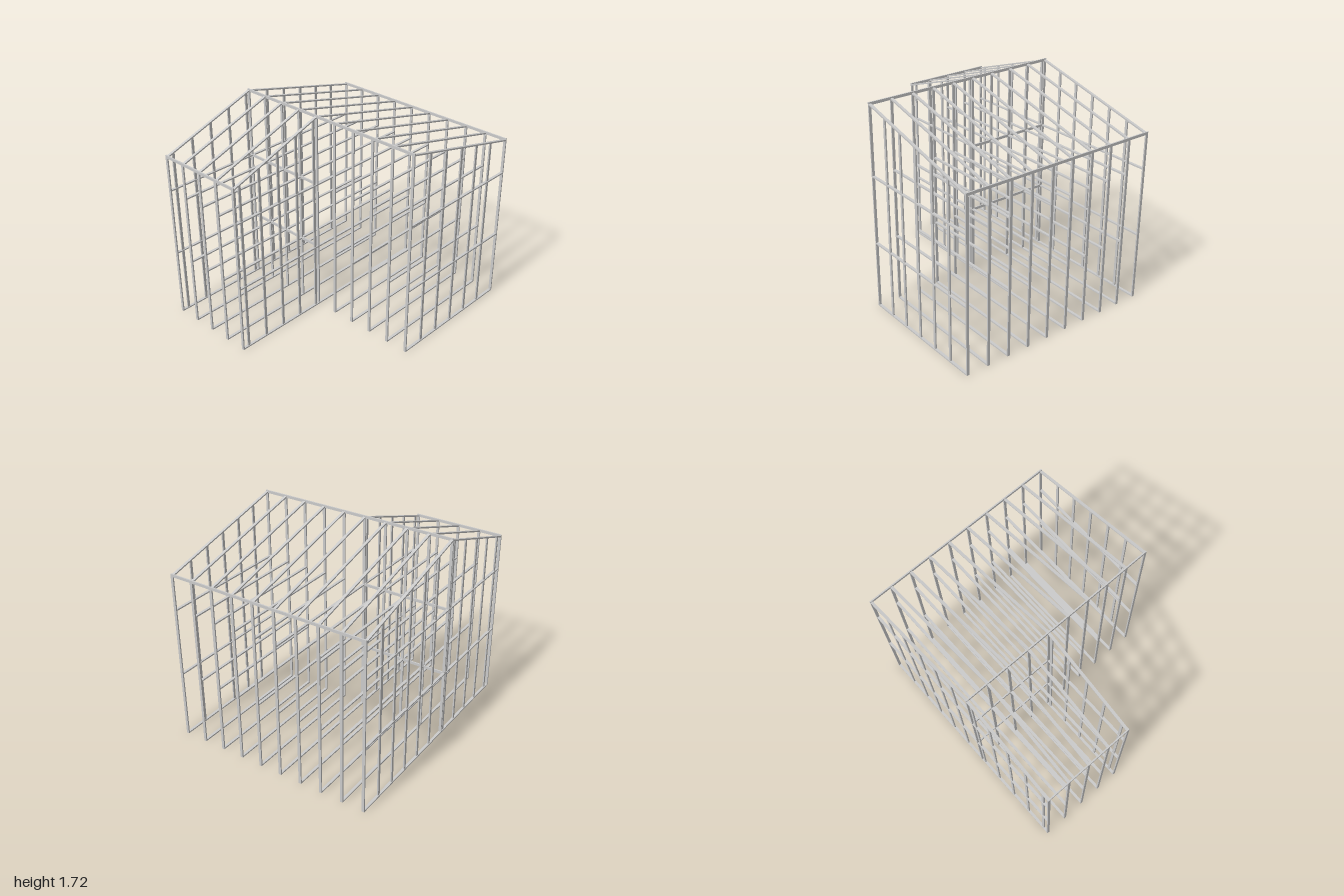
import * as THREE from 'three';

const WIDE = 0.022, THIN = 0.011;
const RIDGE_X = -0.15, RIDGE_Y = 1.705, EAVE_Y = 1.42;
const EAVE_X = 0.994, END_Z = 0.843;
const COUNT = 10;
const material = new THREE.MeshStandardMaterial({ color: 0xcccccc });

// One straight timber given by its size and centre
function timber(group, name, size, centre, tilt = 0) {
  const mesh = new THREE.Mesh(new THREE.BoxGeometry(...size), material);
  mesh.name = name;
  mesh.position.set(...centre);
  mesh.rotation.z = tilt;
  group.add(mesh);
}

// Underside of the roof at a given x
function roofY(x) {
  const run = x > RIDGE_X ? EAVE_X - RIDGE_X : EAVE_X + RIDGE_X;
  return RIDGE_Y - (RIDGE_Y - EAVE_Y) * Math.abs(x - RIDGE_X) / run;
}

function post(group, name, x, z, width, depth) {
  const h = roofY(x);
  timber(group, name, [width, h, depth], [x, h / 2, z]);
}

function rafter(group, z, endX) {
  const dx = endX - RIDGE_X, dy = EAVE_Y - RIDGE_Y;
  timber(group, 'rafter', [Math.hypot(dx, dy), THIN, WIDE],
    [(endX + RIDGE_X) / 2, (EAVE_Y + RIDGE_Y) / 2, z], Math.atan(dy / dx));
}

export function createModel() {
  const model = new THREE.Group();
  model.name = 'houseFrame';

  const rightStuds = [0.041, 0.228, 0.416, 0.603, 0.79];
  const leftStuds = [-0.185, -0.372, -0.56, -0.747, -0.935];

  // Cross frames from back to front; the rear half spans both roof slopes
  for (let i = 0; i < COUNT; i++) {
    const z = -END_Z + (2 * END_Z * i) / (COUNT - 1);
    const full = i < COUNT / 2;
    const frame = new THREE.Group();
    frame.name = full ? 'wideFrame' : 'narrowFrame';

    const x0 = full ? -EAVE_X : RIDGE_X;
    const length = EAVE_X - x0, mid = (EAVE_X + x0) / 2;
    timber(frame, 'floorBeam', [length, THIN, WIDE], [mid, THIN / 2, z]);
    for (const y of [0.567, 1.133]) {
      timber(frame, 'crossRail', [length, THIN, WIDE], [mid, y, z]);
    }

    post(frame, 'eavePost', EAVE_X, z, THIN, WIDE);
    post(frame, 'ridgePost', RIDGE_X, z, THIN, WIDE);
    rafter(frame, z, EAVE_X);
    if (full) {
      post(frame, 'eavePost', -EAVE_X, z, THIN, WIDE);
      rafter(frame, z, -EAVE_X);
    }

    // Studs only in the outer end walls
    const studs = [];
    if (i === 0 || i === COUNT - 1) studs.push(...rightStuds);
    if (i === 0 || i === COUNT / 2 - 1) studs.push(...leftStuds);
    for (const x of studs) post(frame, 'wallStud', x, z, WIDE, THIN);

    model.add(frame);
  }

  // Lengthwise beams along the ridge and eaves
  const wingFront = -END_Z / (COUNT - 1);
  const fullLength = 2 * END_Z + WIDE;
  const wingLength = wingFront + END_Z + WIDE, wingMid = (wingFront - END_Z) / 2;
  timber(model, 'ridgeBeam', [THIN, WIDE, fullLength], [RIDGE_X, 1.708, 0]);
  timber(model, 'eaveBeam', [THIN, WIDE, fullLength], [EAVE_X, 1.425, 0]);
  timber(model, 'eaveBeam', [THIN, WIDE, wingLength], [-EAVE_X, 1.425, wingMid]);

  // Rails of the inner wall under the ridge
  for (const y of [0.567, 1.133]) {
    timber(model, 'innerRail', [THIN, WIDE, wingLength], [RIDGE_X, y, wingMid]);
  }
  return model;
}
